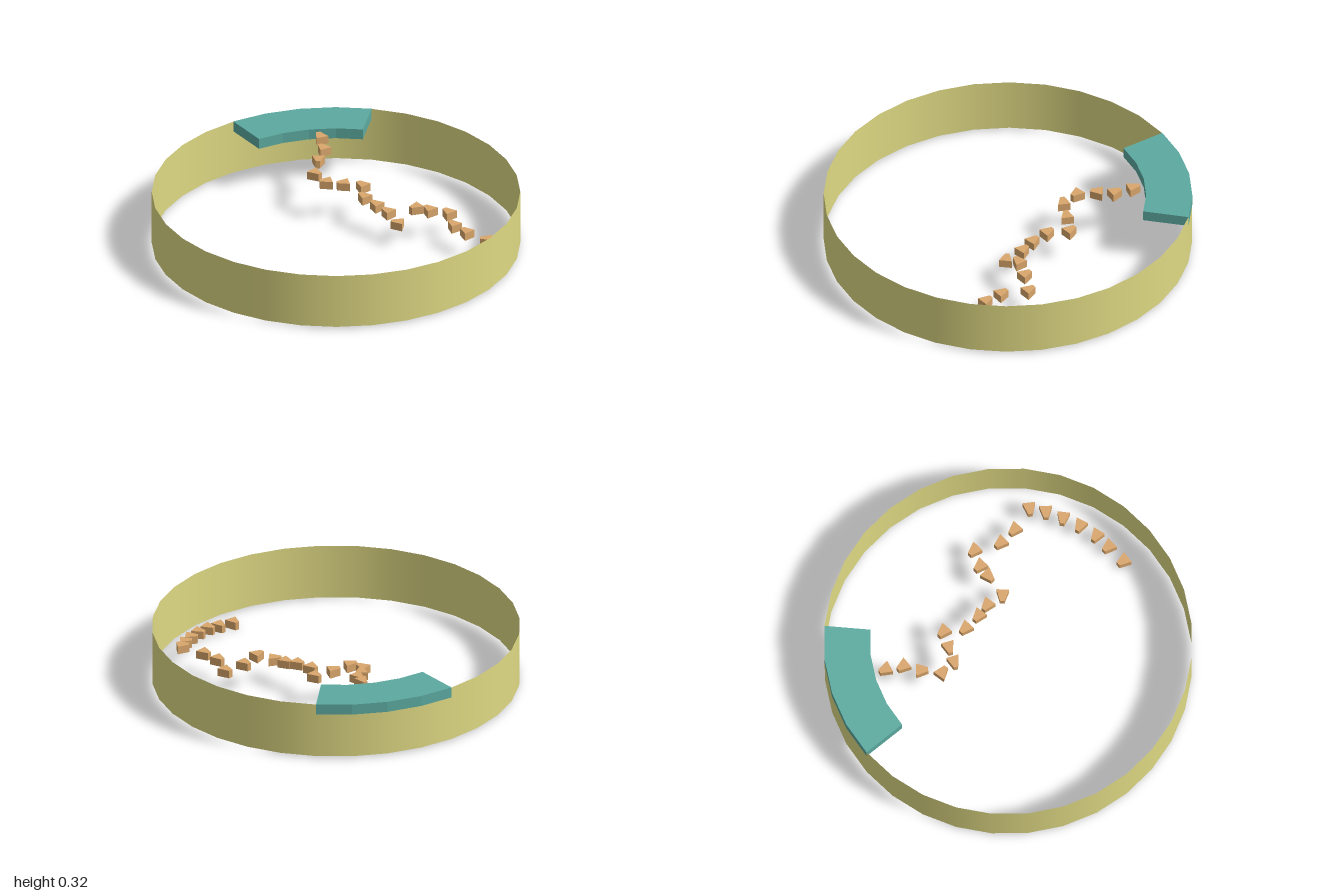
import * as THREE from 'three';

const wallMat = new THREE.MeshStandardMaterial({ color: 0xdfd983, side: THREE.DoubleSide });
wallMat.name = 'paleOlive';
const ledgeMat = new THREE.MeshStandardMaterial({ color: 0x5caaa0 });
ledgeMat.name = 'teal';
const stoneMat = new THREE.MeshStandardMaterial({ color: 0xd9a66b });
stoneMat.name = 'sandstone';

// Upright prism from a plan outline given as [x, -z] points
function prism(points, height) {
  const shape = new THREE.Shape(points.map(([x, y]) => new THREE.Vector2(x, y)));
  const geo = new THREE.ExtrudeGeometry(shape, { depth: height, bevelEnabled: false });
  return geo.rotateX(-Math.PI / 2);
}

// Stepping stones from the ledge down: x, z, centre height, heading of the narrow end (degrees, seen from above)
const STONES = [
  [0.05, -0.685, 0.295, -100], [0.045, -0.585, 0.275, -110], [0.0, -0.49, 0.255, 105],
  [-0.035, -0.385, 0.23, 55], [0.005, -0.305, 0.215, 180], [0.1, -0.305, 0.195, 180],
  [0.205, -0.305, 0.175, -120], [0.19, -0.185, 0.168, -118], [0.24, -0.095, 0.16, -125],
  [0.29, -0.03, 0.145, -125], [0.325, 0.07, 0.122, -160], [0.435, 0.025, 0.182, 155],
  [0.515, 0.0, 0.15, -118], [0.62, 0.0, 0.122, -118], [0.62, 0.15, 0.122, -115],
  [0.67, 0.245, 0.122, -120], [0.76, 0.36, 0.122, -170], [0.72, 0.44, 0.107, -165],
  [0.665, 0.52, 0.09, -155], [0.6, 0.595, 0.077, -135], [0.525, 0.665, 0.06, -130],
  [0.45, 0.71, 0.043, -115], [0.355, 0.765, 0.023, -110],
];

export function createModel() {
  const model = new THREE.Group();

  // Open ring wall
  const wall = new THREE.Mesh(new THREE.CylinderGeometry(1, 1, 0.31, 32, 1, true), wallMat);
  wall.name = 'ringWall';
  wall.position.y = 0.165;
  model.add(wall);

  // Curved ledge against the back of the wall
  const outline = [];
  const step = Math.PI / 16;
  for (let i = -2; i <= 2; i++) outline.push([0.75 * Math.sin(i * step), 0.75 * Math.cos(i * step)]);
  for (let i = 2; i >= -2; i--) outline.push([1.001 * Math.sin(i * step), 1.001 * Math.cos(i * step)]);
  const ledge = new THREE.Mesh(prism(outline, 0.06), ledgeMat);
  ledge.name = 'ledge';
  ledge.position.y = 0.2605;
  model.add(ledge);

  // Winding trail of wedge-shaped stones climbing to the ledge
  const trail = new THREE.Group();
  trail.name = 'steppingStones';
  const height = 0.045;
  const stoneGeo = prism([[-0.032, -0.035], [0.034, -0.012], [0.034, 0.012], [-0.032, 0.035]], height);
  STONES.forEach(([x, z, y, heading], i) => {
    const stone = new THREE.Mesh(stoneGeo, stoneMat);
    stone.name = `stone${i + 1}`;
    stone.position.set(x, Math.max(0, y - height / 2), z);
    stone.rotation.y = -THREE.MathUtils.degToRad(heading);
    trail.add(stone);
  });
  model.add(trail);

  return model;
}
